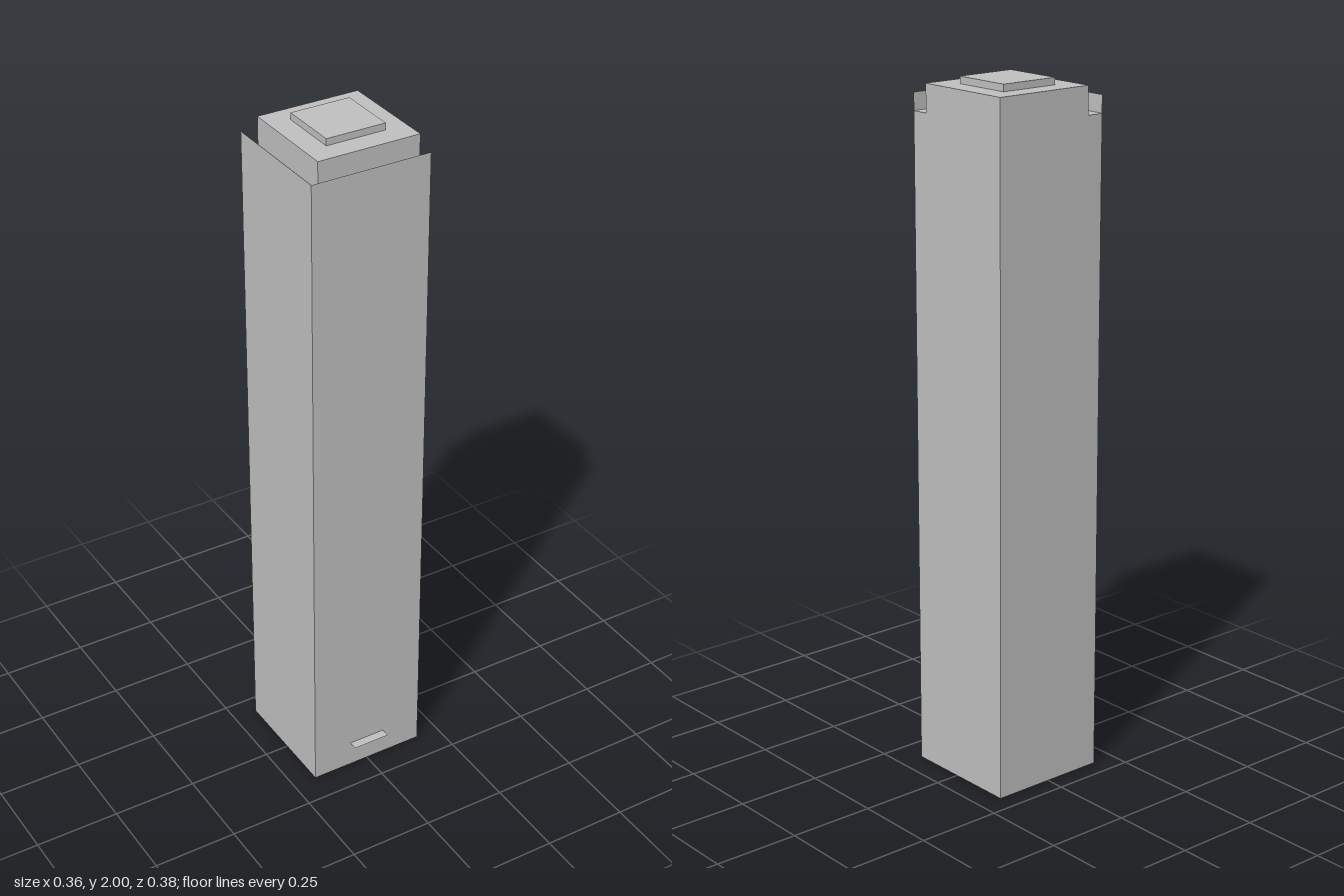
import * as THREE from 'three';

export function createModel() {
  const tower = new THREE.Group();
  tower.name = 'tower';
  const grey = new THREE.MeshStandardMaterial({ color: 0xc0c0c0, side: THREE.DoubleSide });
  grey.name = 'concreteGrey';

  // Plan and heights
  const W = 0.178, front = 0.165, back = -0.193;
  const stepX = -0.128, stepZ = 0.113;
  const terraceY = 1.9, parapetY = 1.95, roofY = 1.98;

  const add = (name, geometry) => {
    const mesh = new THREE.Mesh(geometry, grey);
    mesh.name = name;
    tower.add(mesh);
    return mesh;
  };
  const sheet = (points) =>
    new THREE.ShapeGeometry(new THREE.Shape(points.map(([u, v]) => new THREE.Vector2(u, v))));
  const rect = (u0, u1, v0, v1) => sheet([[u0, v0], [u1, v0], [u1, v1], [u0, v1]]);

  // Front and left walls rise past the terrace as thin parapets
  add('frontWall', rect(-W, W, 0, parapetY).translate(0, 0, front));
  add('leftSideWall', rect(back, front, 0, parapetY).rotateY(-Math.PI / 2).translate(-W, 0, 0));

  // Right and back walls are notched where the terrace runs out
  const notched = (start, step, end) => sheet([
    [start, 0], [end, 0], [end, roofY], [step, roofY], [step, terraceY], [start, terraceY],
  ]);
  add('rightSideWall', notched(-front, -stepZ, -back).rotateY(Math.PI / 2).translate(W, 0, 0));
  const backWall = sheet([
    [-W, 0], [W, 0], [W, terraceY], [-stepX, terraceY], [-stepX, roofY], [-W, roofY],
  ]);
  add('backWall', backWall.rotateY(Math.PI).translate(0, 0, back));

  // L-shaped terrace and the set-back top storey
  const terrace = sheet([
    [-W, -front], [W, -front], [W, -stepZ], [stepX, -stepZ], [stepX, -back], [-W, -back],
  ]);
  add('terrace', terrace.rotateX(-Math.PI / 2).translate(0, terraceY, 0));
  add('topStoreyFront', rect(stepX, W, terraceY, roofY).translate(0, 0, stepZ));
  add('topStoreySide', rect(back, stepZ, terraceY, roofY).rotateY(-Math.PI / 2).translate(stepX, 0, 0));
  add('roof', rect(stepX, W, -stepZ, -back).rotateX(-Math.PI / 2).translate(0, roofY, 0));

  // Rooftop plant room
  add('plantRoom', new THREE.BoxGeometry(0.178, 0.02, 0.179)).position.set(0.025, 1.99, -0.0415);

  // Thin entrance canopy
  add('entranceCanopy', rect(-0.057, 0.056, -0.192, -front).rotateX(-Math.PI / 2).translate(0, 0.08, 0));

  return tower;
}
